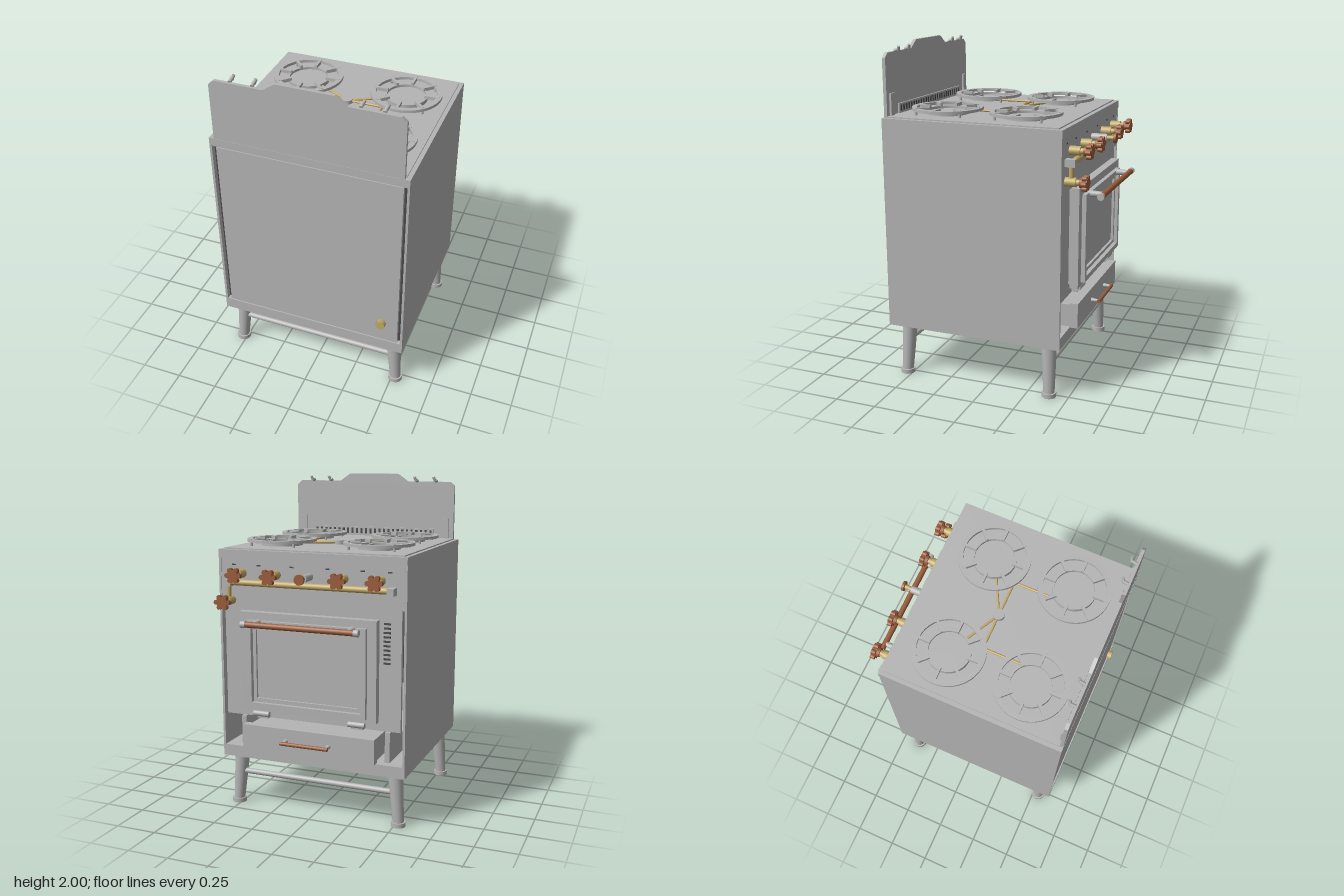
import * as THREE from 'three';

const mat = (name, color) => {
  const m = new THREE.MeshStandardMaterial({ color });
  m.name = name;
  return m;
};

export function createModel() {
  const steel = mat('grey steel', 0xb4b4b4);
  const brass = mat('brass', 0xc2a968);
  const wood = mat('brown wood', 0x9a5c3a);
  const dark = mat('dark slots', 0x4a4a4a);
  const root = new THREE.Group();
  root.name = 'stove';

  const add = (name, geo, m = steel, parent = root) => {
    const mesh = new THREE.Mesh(geo, m);
    mesh.name = name;
    parent.add(mesh);
    return mesh;
  };
  // Box given by its limits on each axis
  const box = (name, x0, x1, y0, y1, z0, z1, m = steel, parent = root) => {
    const mesh = add(name, new THREE.BoxGeometry(x1 - x0, y1 - y0, z1 - z0), m, parent);
    mesh.position.set((x0 + x1) / 2, (y0 + y1) / 2, (z0 + z1) / 2);
    return mesh;
  };
  // Round bar from point a to point b, with a radius at each end
  const rod = (name, a, b, ra, rb = ra, m = steel, parent = root, sides = 20) => {
    const p = new THREE.Vector3(...a), q = new THREE.Vector3(...b);
    const d = q.clone().sub(p);
    const mesh = add(name, new THREE.CylinderGeometry(rb, ra, d.length(), sides), m, parent);
    mesh.position.copy(p).add(q).multiplyScalar(0.5);
    mesh.quaternion.setFromUnitVectors(new THREE.Vector3(0, 1, 0), d.normalize());
    return mesh;
  };
  const group = (name) => {
    const g = new THREE.Group();
    g.name = name;
    root.add(g);
    return g;
  };
  // Rectangular frame standing in the xy plane
  const frame = (name, hw, y0, y1, border, z0, z1, parent) => {
    const s = new THREE.Shape();
    s.moveTo(-hw, y0).lineTo(hw, y0).lineTo(hw, y1).lineTo(-hw, y1).closePath();
    const h = new THREE.Path(), w = hw - border;
    h.moveTo(-w, y0 + border).lineTo(-w, y1 - border).lineTo(w, y1 - border).lineTo(w, y0 + border).closePath();
    s.holes.push(h);
    const mesh = add(name, new THREE.ExtrudeGeometry(s, { depth: z1 - z0, bevelEnabled: false }), steel, parent);
    mesh.position.z = z0;
  };

  // Cabinet
  box('base', -0.58, 0.58, 0.32, 0.39, -0.465, 0.62);
  box('cooktop', -0.58, 0.58, 1.54, 1.585, -0.468, 0.62);
  box('cooktopInset', -0.555, 0.555, 1.585, 1.592, -0.44, 0.6);
  box('backPanel', -0.545, 0.545, 0.39, 1.525, 0.59, 0.612);
  box('backGap', -0.567, 0.567, 0.39, 1.54, 0.585, 0.59, dark);
  box('backTopRail', -0.567, 0.567, 1.53, 1.54, 0.59, 0.612);
  box('controlPanel', -0.565, 0.565, 1.29, 1.54, -0.462, -0.43);
  box('frontPanel', -0.55, 0.55, 0.59, 1.29, -0.455, -0.43);
  box('cavityCeiling', -0.565, 0.565, 0.59, 0.6, -0.43, 0.58);
  for (const s of [-1, 1]) {
    box('sidePanel', s * 0.573 - 0.007, s * 0.573 + 0.007, 0.39, 1.54, -0.465, 0.62);
    box('drawerRail', s * 0.46 - 0.015, s * 0.46 + 0.015, 0.39, 0.57, -0.42, 0.2);
  }

  // Splayed legs with collars and feet, joined by bars
  for (const [zt, zb] of [[0.523, 0.534], [-0.377, -0.386]]) {
    for (const s of [-1, 1]) {
      const leg = group('leg');
      rod('legShaft', [s * 0.522, 0.02, zb], [s * 0.5, 0.3, zt], 0.033, 0.045, steel, leg, 28);
      rod('legCollar', [s * 0.5, 0.295, zt], [s * 0.5, 0.32, zt], 0.05, 0.05, steel, leg, 28);
      rod('foot', [s * 0.522, 0, zb], [s * 0.522, 0.026, zb], 0.043, 0.043, steel, leg, 28);
    }
    rod('stretcher', [-0.5, 0.205, zb], [0.5, 0.205, zb], 0.017);
  }

  // Backsplash with a stepped top edge
  const half = [[0.55, 1.585], [0.55, 1.925], [0.52, 1.952], [0.235, 1.952], [0.165, 2]];
  const outline = [...half, ...half.slice().reverse().map(([x, y]) => [-x, y])];
  const splash = add('backsplash', new THREE.ExtrudeGeometry(
    new THREE.Shape(outline.map((p) => new THREE.Vector2(...p))), { depth: 0.02, bevelEnabled: false }));
  splash.position.z = 0.598;
  box('ventStrip', -0.42, 0.42, 1.592, 1.65, 0.588, 0.598);
  for (let i = 0; i < 26; i++) {
    const x = -0.4 + i * 0.032;
    box('ventSlot', x - 0.007, x + 0.007, 1.605, 1.64, 0.585, 0.588, dark);
  }
  for (const s of [-1, 1]) {
    box('splashBracket', s * 0.5 - 0.02, s * 0.5 + 0.02, 1.592, 1.72, 0.585, 0.598);
    for (const x of [0.3, 0.428]) {
      rod('hookArm', [s * x, 1.955, 0.605], [s * x, 1.965, 0.575], 0.01);
      rod('hookTip', [s * x, 1.955, 0.578], [s * x + 0.01, 1.982, 0.57], 0.009);
    }
  }

  // Burners: flat outer ring, inner ring, eight spokes and small feet
  const flatRing = (name, ro, ri, y, h, parent) => {
    const shape = new THREE.Shape().absarc(0, 0, ro, 0, Math.PI * 2);
    shape.holes.push(new THREE.Path().absarc(0, 0, ri, 0, Math.PI * 2, true));
    const m = add(name, new THREE.ExtrudeGeometry(shape, { depth: h, bevelEnabled: false, curveSegments: 40 }), steel, parent);
    m.rotation.x = -Math.PI / 2;
    m.position.y = y;
  };
  for (const x of [-0.31, 0.31]) for (const z of [-0.163, 0.328]) {
    const g = group('burner');
    g.position.set(x, 0, z);
    flatRing('grateRing', 0.21, 0.18, 1.615, 0.017, g);
    flatRing('burnerRing', 0.125, 0.115, 1.592, 0.025, g);
    rod('burnerPlate', [0, 1.592, 0], [0, 1.602, 0], 0.117, 0.117, steel, g, 40);
    for (let i = 0; i < 8; i++) {
      const spoke = new THREE.Group();
      spoke.name = 'spoke';
      spoke.rotation.y = i * Math.PI / 4;
      g.add(spoke);
      box('spokeBar', 0.112, 0.2, 1.613, 1.634, -0.008, 0.008, steel, spoke);
      if (i % 2) rod('grateFoot', [0.195, 1.59, 0], [0.195, 1.616, 0], 0.008, 0.008, steel, spoke, 10);
    }
  }

  // Gas lines across the cooktop
  rod('gasHub', [0, 1.59, 0], [0, 1.615, 0], 0.033);
  for (const s of [-1, 1]) {
    rod('gasLine', [0, 1.603, 0], [s * 0.217, 1.603, 0], 0.007, 0.007, brass);
    rod('gasLine', [s * 0.217, 1.603, -0.006], [s * 0.217, 1.603, 0.235], 0.007, 0.007, brass);
    rod('gasLine', [0, 1.603, 0], [s * 0.197, 1.603, -0.102], 0.007, 0.007, brass);
  }

  // Gas manifold and valves on the control side
  rod('manifold', [-0.49, 1.4, -0.5], [0.49, 1.4, -0.5], 0.018, 0.018, brass);
  for (const s of [-1, 1]) box('manifoldEnd', s * 0.5 - 0.02, s * 0.5 + 0.02, 1.375, 1.417, -0.52, -0.46);
  const valve = (x, y) => {
    const g = group('valve');
    g.position.set(x, y, 0);
    rod('valveBody', [0, 0, -0.46], [0, 0, -0.525], 0.027, 0.027, brass, g, 12);
    rod('valveStem', [0, 0, -0.52], [0, 0, -0.555], 0.018, 0.018, brass, g);
    rod('knobHub', [0, 0, -0.545], [0, 0, -0.592], 0.027, 0.034, wood, g);
    for (let i = 0; i < 6; i++) {
      const a = i * Math.PI / 3;
      const cx = Math.cos(a) * 0.037, cy = Math.sin(a) * 0.033;
      rod('knobLobe', [cx, cy, -0.563], [cx, cy, -0.59], 0.014, 0.014, wood, g, 12);
    }
  };
  for (const x of [-0.428, -0.21, 0.206, 0.426]) valve(x, 1.45);
  valve(0.5, 1.29);
  rod('valveDrop', [0.5, 1.29, -0.495], [0.5, 1.4, -0.495], 0.014, 0.014, brass);
  rod('lighterBody', [0, 1.45, -0.46], [0, 1.45, -0.556], 0.022);
  rod('lighterStem', [0, 1.45, -0.55], [0, 1.45, -0.6], 0.013, 0.013, brass);
  rod('lighterKnob', [0, 1.45, -0.598], [0, 1.45, -0.613], 0.03, 0.03, wood);
  for (const x of [-0.48, -0.32, -0.11, 0.11, 0.32, 0.48])
    box('panelSlot', x - 0.012, x + 0.012, 1.494, 1.502, -0.464, -0.461, dark);

  // Oven door with raised frame, window and handle
  const door = group('ovenDoor');
  frame('doorFrame', 0.425, 0.645, 1.235, 0.06, -0.52, -0.472, door);
  box('doorSeal', -0.4, 0.4, 0.66, 1.22, -0.475, -0.45, steel, door);
  frame('windowFrame', 0.37, 0.67, 1.19, 0.03, -0.545, -0.5, door);
  frame('windowBead', 0.335, 0.705, 1.155, 0.02, -0.525, -0.48, door);
  box('windowPane', -0.345, 0.345, 0.69, 1.17, -0.51, -0.475, steel, door);
  rod('doorHandle', [-0.33, 1.18, -0.622], [0.33, 1.18, -0.622], 0.017, 0.017, wood, door);
  for (const s of [-1, 1]) {
    rod('handleEnd', [s * 0.33, 1.18, -0.622], [s * 0.358, 1.18, -0.622], 0.02, 0.02, steel, door);
    rod('handlePost', [s * 0.29, 1.18, -0.535], [s * 0.29, 1.18, -0.615], 0.02, 0.016, steel, door);
    rod('hinge', [s * 0.3 - 0.05, 0.622, -0.497], [s * 0.3 + 0.05, 0.622, -0.497], 0.017, 0.017, steel, door);
    box('hingeLeaf', s * 0.3 - 0.035, s * 0.3 + 0.035, 0.592, 0.65, -0.49, -0.452, steel, door);
  }
  for (let i = 0; i < 10; i++) {
    const y = 0.98 + i * 0.025;
    box('sideVent', -0.485, -0.445, y, y + 0.011, -0.459, -0.454, dark);
  }

  // Drawer under the oven
  const drawer = group('drawer');
  box('drawerFront', -0.415, 0.415, 0.4, 0.55, -0.52, -0.47, steel, drawer);
  box('drawerBox', -0.4, 0.4, 0.4, 0.535, -0.47, 0.3, steel, drawer);
  rod('drawerHandle', [-0.15, 0.476, -0.568], [0.15, 0.476, -0.568], 0.011, 0.011, wood, drawer);
  for (const s of [-1, 1])
    rod('drawerPost', [s * 0.135, 0.476, -0.518], [s * 0.135, 0.476, -0.57], 0.014, 0.008, steel, drawer);

  // Gas inlet at the rear
  rod('gasInlet', [0.445, 0.522, 0.605], [0.445, 0.522, 0.64], 0.03, 0.03, brass, root, 6).rotateY(Math.PI / 6);

  return root;
}
